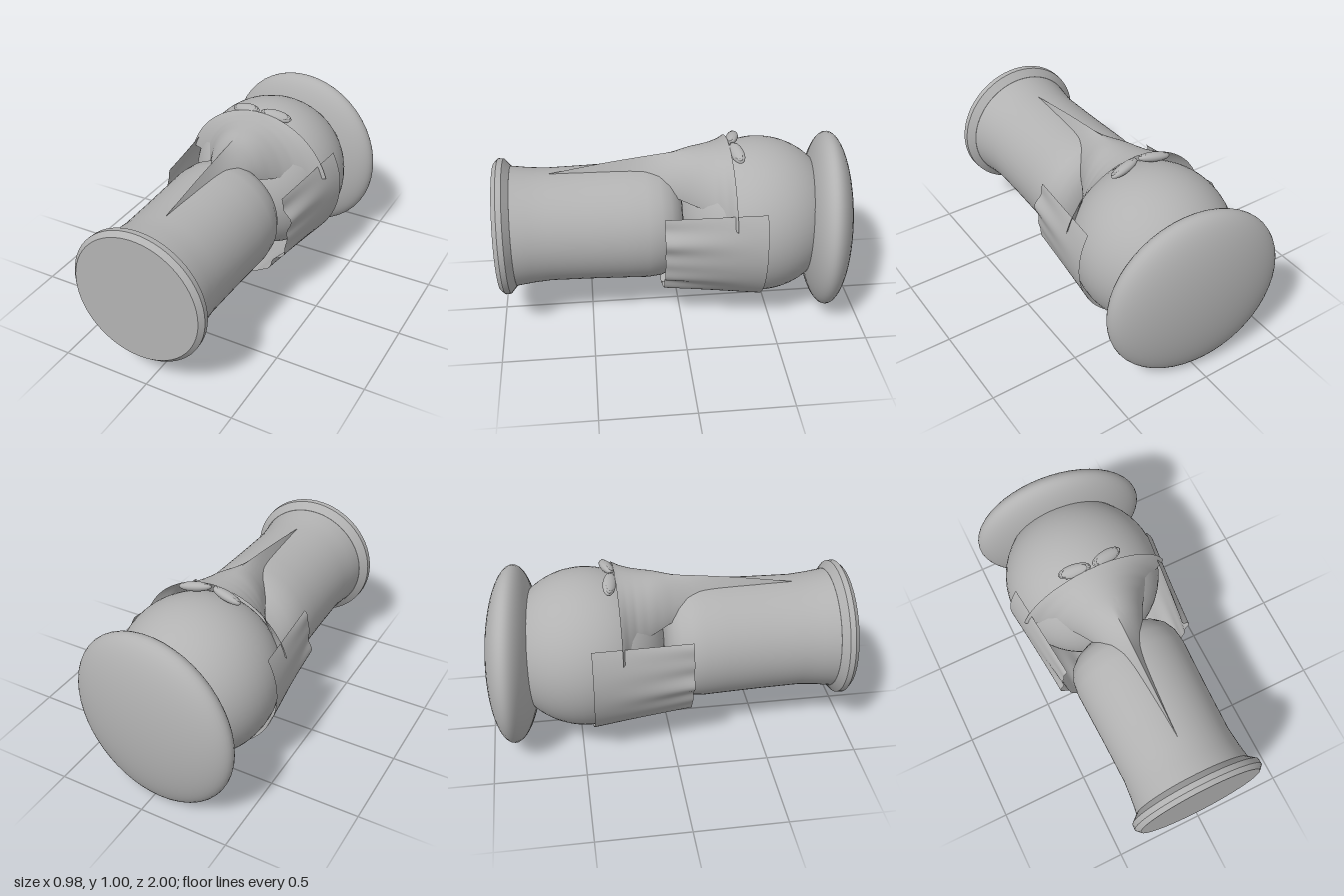
import * as THREE from 'three';
import { toCreasedNormals } from 'three/addons/utils/BufferGeometryUtils.js';

const CX = -0.03, CY = 0.533; // main axis, running along z

// Grid surface from a point rule f(u, v) -> [x, y, z]
function surface(nu, nv, f) {
  const pos = [], idx = [];
  for (let j = 0; j <= nv; j++)
    for (let i = 0; i <= nu; i++) pos.push(...f(i / nu, j / nv));
  for (let j = 0; j < nv; j++)
    for (let i = 0; i < nu; i++) {
      const a = j * (nu + 1) + i, b = a + 1, c = a + nu + 1, d = c + 1;
      idx.push(a, b, d, a, d, c);
    }
  const g = new THREE.BufferGeometry();
  g.setAttribute('position', new THREE.Float32BufferAttribute(pos, 3));
  g.setIndex(idx);
  g.computeVertexNormals();
  return g;
}

// Lathe turned to lie along z; profile entries are [radius, z]
function lathe(profile) {
  const g = new THREE.LatheGeometry(profile.map(p => new THREE.Vector2(...p)), 64);
  g.rotateX(Math.PI / 2);
  return toCreasedNormals(g, 0.5);
}

// Linear lookup in rows of [z, ...values]
function sample(rows, z, k) {
  let i = 0;
  while (i < rows.length - 2 && z > rows[i + 1][0]) i++;
  const a = rows[i], b = rows[i + 1];
  return THREE.MathUtils.lerp(a[k], b[k], (z - a[0]) / (b[0] - a[0]));
}

export function createModel() {
  const group = new THREE.Group();
  const grey = new THREE.MeshStandardMaterial({ color: 0xb2b2b2, side: THREE.DoubleSide });
  grey.name = 'plain grey';
  const add = (name, geo, x = 0, y = 0, z = 0, parent = group) => {
    const m = new THREE.Mesh(geo, grey);
    m.name = name;
    m.position.set(x, y, z);
    parent.add(m);
    return m;
  };

  // Stepped foot and waisted body with a rounded shoulder
  add('base', lathe([[0, 0.9], [0.335, 0.91], [0.376, 0.945], [0.378, 0.975], [0.354, 1], [0, 1]]), CX, CY);
  add('body', lathe([[0, -0.03], [0.16, -0.02], [0.215, -0.01], [0.26, 0.015], [0.295, 0.05],
    [0.32, 0.105], [0.328, 0.18], [0.324, 0.3], [0.318, 0.5], [0.314, 0.72], [0.322, 0.82], [0.335, 0.92]]), CX, CY);

  // Round head
  add('head', new THREE.SphereGeometry(0.438, 48, 32), CX, CY, -0.45);

  // Flat tilted cap
  const cap = add('cap', new THREE.SphereGeometry(1, 48, 32).rotateX(Math.PI / 2), 0, 0.495, -0.843);
  cap.scale.set(0.491, 0.494, 0.146);
  cap.rotation.y = -0.113;

  // Beard: tapering wrap under the head, with folds growing to the front
  const a0 = Math.PI * 0.84, a1 = Math.PI * 2.16;
  add('beard', surface(120, 12, (u, v) => {
    const a = a0 + (a1 - a0) * u;
    const fold = 0.6 * Math.sin(u * 50) + 0.4 * Math.sin(u * 83 + 1);
    const r = 0.455 - 0.062 * v + 0.017 * v * v * (fold - 0.4);
    return [CX + r * Math.cos(a), CY + r * Math.sin(a), -0.44 + 0.54 * v];
  }));

  // Beak: hood over the brow sweeping into a ridged point
  // rows: z, half width, ridge height, side drop
  const beak = [[-0.28, 0.43, 0.985, 0.315], [-0.265, 0.405, 0.981, 0.31], [-0.24, 0.355, 0.977, 0.3],
    [-0.19, 0.285, 0.97, 0.28], [-0.13, 0.232, 0.963, 0.26], [-0.06, 0.187, 0.956, 0.24],
    [0.015, 0.148, 0.947, 0.21], [0.1, 0.11, 0.937, 0.17], [0.2, 0.073, 0.925, 0.13],
    [0.3, 0.048, 0.912, 0.1], [0.4, 0.031, 0.898, 0.075], [0.55, 0.013, 0.874, 0.04], [0.7, 0, 0.848, 0]];
  const beakGeo = surface(48, 64, (u, v) => {
    const z = -0.28 + 0.98 * v ** 1.5;
    const a = Math.PI * (1 - u), c = Math.cos(a);
    const ridge = THREE.MathUtils.smoothstep(z, -0.1, 0.3);
    const shape = THREE.MathUtils.lerp(1 - Math.sin(a), Math.abs(c), ridge);
    // Brow edge follows the head's round section
    const arc = (0.45 - Math.sqrt(0.45 ** 2 - (0.43 * c) ** 2)) / 0.3174;
    const k = THREE.MathUtils.lerp(arc, shape, THREE.MathUtils.smoothstep(z, -0.28, 0));
    return [CX + sample(beak, z, 1) * c, sample(beak, z, 2) - sample(beak, z, 3) * k, z];
  });
  add('beak', toCreasedNormals(beakGeo, 0.6));

  // Pair of narrow eyes with a raised lid seam
  for (const s of [-1, 1]) {
    const eye = new THREE.Group();
    eye.name = s > 0 ? 'leftEye' : 'rightEye';
    eye.position.set(CX + s * 0.093, 0.968, -0.313);
    eye.rotation.set(0.45, s * 0.1, -s * 0.22);
    const ball = add('eyeball', new THREE.SphereGeometry(1, 32, 20), 0, 0, 0, eye);
    ball.scale.set(0.09, 0.026, 0.036);
    const lid = add('eyelid', new THREE.TorusGeometry(1, 0.12, 8, 40).rotateX(Math.PI / 2), 0, 0.01, 0, eye);
    lid.scale.set(0.075, 0.06, 0.025);
    group.add(eye);
  }
  return group;
}
